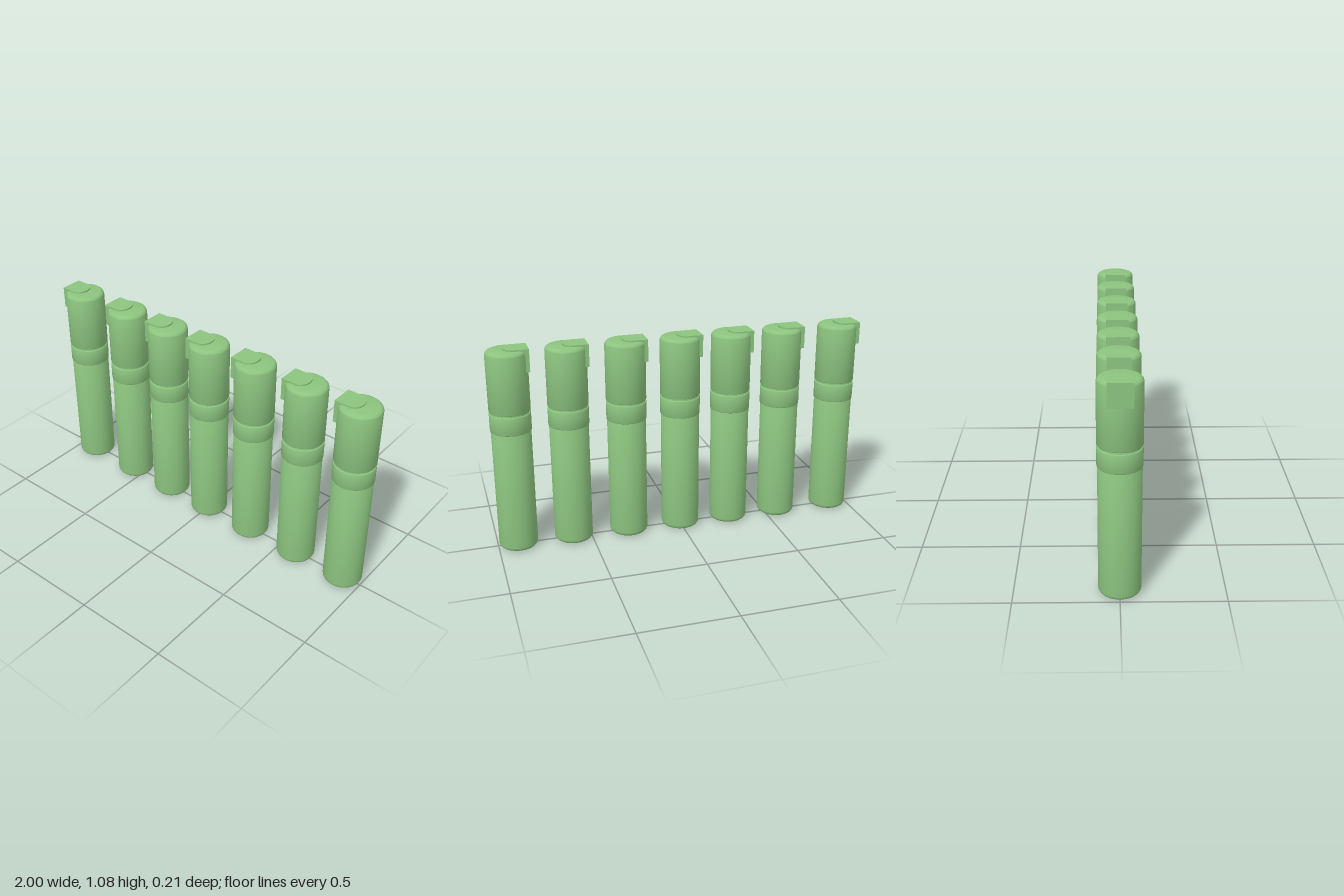
import * as THREE from 'three';
import { toCreasedNormals } from 'three/addons/utils/BufferGeometryUtils.js';

// Solid of revolution between two heights, with rounded bottom and top edges
function roundedCylinder(radius, y0, y1, filletBottom, filletTop) {
  const points = [new THREE.Vector2(0, y0)];
  const arc = (cy, r, from) => {
    for (let i = 0; i <= 6; i++) {
      const a = from + (i / 6) * Math.PI / 2;
      points.push(new THREE.Vector2(radius - r + r * Math.cos(a), cy + r * Math.sin(a)));
    }
  };
  arc(y0 + filletBottom, filletBottom, -Math.PI / 2);
  arc(y1 - filletTop, filletTop, 0);
  points.push(new THREE.Vector2(0, y1));
  return toCreasedNormals(new THREE.LatheGeometry(points, 48), 0.6);
}

// Hanging part of the clip: L profile in x/y, extruded across z
function clipArmGeometry(halfWidth) {
  const s = new THREE.Shape();
  s.moveTo(-0.108, 0.967);
  s.lineTo(-0.084, 0.967);
  s.lineTo(-0.084, 1.05);
  s.quadraticCurveTo(-0.084, 1.074, -0.06, 1.074);
  s.lineTo(-0.03, 1.074);
  s.lineTo(-0.03, 1.084);
  s.lineTo(-0.108, 1.084);
  s.closePath();
  const g = new THREE.ExtrudeGeometry(s, { depth: halfWidth * 2, bevelEnabled: false, curveSegments: 6 });
  g.translate(0, 0, -halfWidth);
  return toCreasedNormals(g, 0.6);
}

// Rounded tongue of the clip lying on the cap top
function clipTongueGeometry(halfWidth) {
  const s = new THREE.Shape();
  s.moveTo(-0.06, -halfWidth);
  s.lineTo(-0.03, -halfWidth);
  s.absellipse(-0.03, 0, 0.046, halfWidth, -Math.PI / 2, Math.PI / 2, false, 0);
  s.lineTo(-0.06, halfWidth);
  s.closePath();
  const g = new THREE.ExtrudeGeometry(s, { depth: 0.014, bevelEnabled: false, curveSegments: 20 });
  g.rotateX(-Math.PI / 2);
  g.translate(0, 1.07, 0);
  return toCreasedNormals(g, 0.6);
}

export function createModel() {
  const group = new THREE.Group();
  const material = new THREE.MeshStandardMaterial({ color: 0x8cc47f });
  const parts = {
    barrel: roundedCylinder(0.102, 0.002, 0.66, 0.022, 0.002),
    neck: roundedCylinder(0.1, 0.64, 0.78, 0.002, 0.002),
    gripRing: roundedCylinder(0.1055, 0.654, 0.75, 0.004, 0.004),
    cap: roundedCylinder(0.1055, 0.759, 1.076, 0.004, 0.024),
    clipArm: clipArmGeometry(0.058),
    clipTongue: clipTongueGeometry(0.058),
  };

  // Row of seven identical pens, slightly unevenly spaced
  [-0.892, -0.57, -0.283, -0.003, 0.29, 0.595, 0.892].forEach((x, i) => {
    const pen = new THREE.Group();
    pen.name = `pen${i + 1}`;
    for (const [name, geometry] of Object.entries(parts)) {
      const mesh = new THREE.Mesh(geometry, material);
      mesh.name = name;
      pen.add(mesh);
    }
    pen.position.x = x;
    group.add(pen);
  });
  return group;
}
